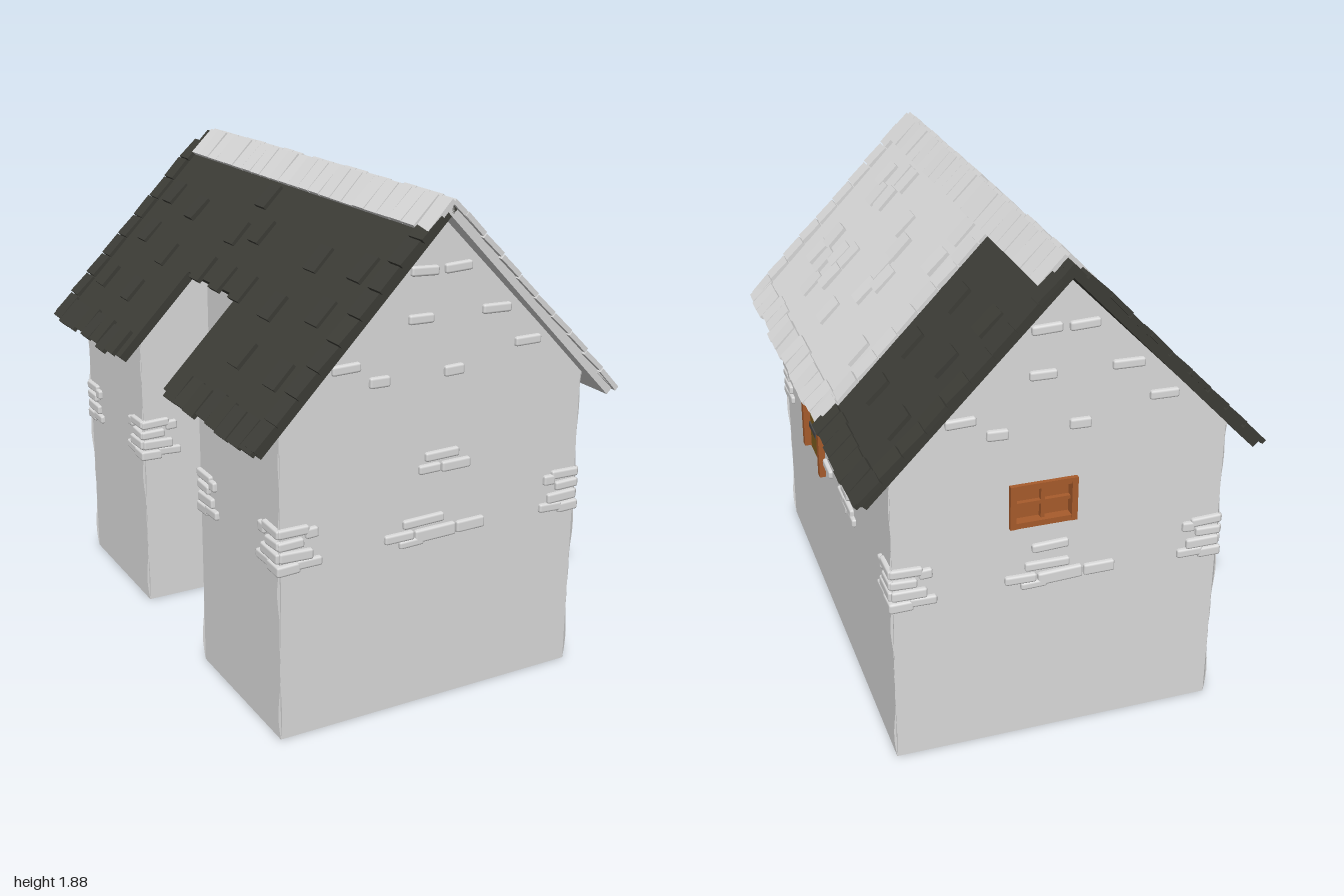
import * as THREE from 'three';
import { RoundedBoxGeometry } from 'three/addons/geometries/RoundedBoxGeometry.js';

const mat = (name, color, side = THREE.FrontSide) => {
  const m = new THREE.MeshStandardMaterial({ color, side });
  m.name = name;
  return m;
};

export function createModel() {
  const plaster = mat('plaster', 0xdcdcdc, THREE.DoubleSide);
  const slateLight = mat('light slate', 0xd9d9d9);
  const slateDark = mat('dark slate', 0x3d3d37);
  const wood = mat('brown wood', 0xa85c2c);
  const oak = mat('ochre wood', 0x806020);
  const iron = mat('iron', 0x4a4a4a);
  const rubble = mat('hearth stone', 0xa0a0a0);

  const house = new THREE.Group();
  house.name = 'house';
  let seed = 7;
  const jitter = (s) => {
    seed = (seed * 16807) % 2147483647;
    return (seed / 2147483647 - 0.5) * 2 * s;
  };
  const box = (parent, name, m, w, h, d, x, y, z) => {
    const b = new THREE.Mesh(new THREE.BoxGeometry(w, h, d), m);
    b.name = name;
    b.position.set(x, y, z);
    parent.add(b);
    return b;
  };

  // ---- Walls: flat panels with wavy upright edges and rectangular openings
  const wave = (y) => 0.011 * Math.abs(Math.sin(y * 14)) * Math.abs(Math.cos(y * 5));
  function wall(name, a0, a1, h0, h1, x, z, turn, { apex, holes = [] } = {}) {
    const g = new THREE.Group();
    g.name = name;
    const n = 30, pts = [];
    for (let i = 0; i <= n; i++) pts.push(new THREE.Vector2(a1 + wave(h1 * i / n), h1 * i / n));
    if (apex) pts.push(new THREE.Vector2(0, apex));
    for (let i = n; i >= 0; i--) pts.push(new THREE.Vector2(a0 - wave(h0 * i / n), h0 * i / n));
    const shape = new THREE.Shape(pts);
    for (const [l, r, b, t] of holes) {
      shape.holes.push(new THREE.Path([[l, b], [l, t], [r, t], [r, b]].map((p) => new THREE.Vector2(...p))));
    }
    const panel = new THREE.Mesh(new THREE.ShapeGeometry(shape), plaster);
    panel.name = name + 'Panel';
    g.add(panel);
    g.position.set(x, 0, z);
    g.rotation.y = turn;
    house.add(g);
    return g;
  }
  // Exposed stones: [across, height, width, tall]
  function stones(g, list) {
    for (const [a, y, w = 0.1, h = 0.035] of list) {
      const s = new THREE.Mesh(new RoundedBoxGeometry(w, h, 0.03, 1, 0.009), plaster);
      s.name = 'wallStone';
      s.position.set(a, y, 0.001);
      s.rotation.z = jitter(0.05);
      g.add(s);
    }
  }
  const corner = (a, s) => [
    [a - s * 0.05, 0.79, 0.12, 0.035], [a - s * 0.12, 0.775, 0.05, 0.04], [a - s * 0.04, 0.745, 0.1, 0.035],
    [a - s * 0.06, 0.70, 0.13, 0.04], [a - s * 0.11, 0.665, 0.1, 0.035], [a - s * 0.03, 0.655, 0.09, 0.04],
  ];
  const gableStones = [
    [-0.07, 1.635, 0.11], [0.065, 1.635, 0.11], [-0.08, 1.47], [0.23, 1.47, 0.12], [-0.37, 1.335, 0.11],
    [0.37, 1.335, 0.11], [-0.24, 1.27, 0.08, 0.04], [0.06, 1.27, 0.08, 0.04], [-0.05, 0.725, 0.17, 0.035],
    [-0.15, 0.68, 0.12, 0.035], [0, 0.67, 0.17, 0.05], [0.15, 0.672, 0.12, 0.045], [-0.1, 0.65, 0.1, 0.03],
    ...corner(0.62, 1), ...corner(-0.62, -1),
  ];

  const front = wall('frontWall', -0.62, 0.62, 1.18, 1.18, 0, 0.93, 0, { apex: 1.81 });
  stones(front, [...gableStones, [0.02, 0.965, 0.14], [-0.03, 0.92, 0.09], [0.08, 0.917, 0.12, 0.04]]);

  const backHole = [-0.195, 0.055, 0.895, 1.065];
  const back = wall('backWall', -0.62, 0.62, 1.18, 1.18, 0, -0.93, Math.PI, { apex: 1.81, holes: [backHole] });
  stones(back, [...gableStones, [-0.04, 0.8, 0.14]]);

  const sideHole = [0.22, 0.385, 0.86, 1.1];
  const left = wall('doorWall', -0.93, 0.93, 1.17, 1.17, 0.62, 0, Math.PI / 2,
    { holes: [[-0.45, -0.15, 0.61, 1.15], sideHole] });
  stones(left, [
    [-0.54, 1.015, 0.12], [-0.06, 0.69, 0.12], [0.26, 0.755, 0.1], [0.2, 0.71, 0.1], [0.31, 0.715, 0.12],
    [0.24, 0.685, 0.1], [0.35, 0.69, 0.1], [0.52, 1.075, 0.13], ...corner(0.93, 1), ...corner(-0.93, -1),
  ]);

  // Far side has a recess in the middle
  const wingA = wall('wingWallRear', -0.93, -0.3, 1.17, 1.17, -0.62, 0, -Math.PI / 2);
  const wingB = wall('wingWallFront', 0.28, 0.93, 1.17, 1.17, -0.62, 0, -Math.PI / 2);
  stones(wingA, [...corner(-0.93, -1), ...corner(-0.3, 1)]);
  stones(wingB, [...corner(0.93, 1), ...corner(0.28, -1)]);
  wall('recessWall', -0.3, 0.28, 1.47, 1.47, -0.32, 0, -Math.PI / 2);
  stones(wall('recessRearReturn', -0.62, -0.32, 1.18, 1.48, 0, -0.3, 0), corner(-0.62, -1));
  stones(wall('recessFrontReturn', 0.32, 0.62, 1.48, 1.18, 0, 0.28, Math.PI), corner(0.62, 1));

  // ---- Windows
  function windowIn(g, [l, r, b, t]) {
    const w = new THREE.Group(), f = 0.022, cx = (l + r) / 2, cy = (b + t) / 2;
    w.name = 'window';
    for (const x of [l + f / 2, r - f / 2]) box(w, 'windowJamb', wood, f, t - b, 0.08, x, cy, -0.022);
    for (const y of [b + f / 2, t - f / 2]) box(w, 'windowRail', wood, r - l, f, 0.076, cx, y, -0.022);
    box(w, 'windowMullion', wood, 0.014, t - b, 0.02, cx, cy, -0.01);
    box(w, 'windowBar', wood, r - l, 0.014, 0.018, cx, cy, -0.01);
    box(w, 'windowPane', wood, r - l, t - b, 0.008, cx, cy, -0.025);
    g.add(w);
  }
  windowIn(back, backHole);
  windowIn(left, sideHole);

  // ---- Door with frame, hinges and latch
  const door = new THREE.Group();
  door.name = 'door';
  for (const a of [-0.452, -0.155]) {
    box(door, 'doorPost', wood, 0.036, 0.58, 0.12, a, 0.9, -0.034);
    box(door, 'lowerPost', wood, 0.05, 0.61, 0.09, a, 0.305, -0.048);
  }
  box(door, 'doorLintel', wood, 0.33, 0.04, 0.115, -0.303, 1.16, -0.034);
  box(door, 'doorLeaf', oak, 0.265, 0.54, 0.025, -0.303, 0.875, -0.015);
  for (const y of [1.02, 0.715]) box(door, 'hinge', iron, 0.125, 0.024, 0.008, -0.37, y, 0.001);
  box(door, 'latch', iron, 0.07, 0.012, 0.008, -0.21, 0.88, 0.001);
  box(door, 'latchHandle', iron, 0.012, 0.04, 0.009, -0.2, 0.875, 0.002);
  left.add(door);

  // ---- Upper floor, joist and hearth, seen through the open base
  box(house, 'floor', wood, 0.92, 0.03, 1.84, 0.15, 0.59, 0);
  box(house, 'floorFront', wood, 0.3, 0.03, 0.63, -0.46, 0.59, 0.605);
  box(house, 'floorRear', wood, 0.3, 0.03, 0.61, -0.46, 0.59, -0.615);
  box(house, 'floorJoist', oak, 0.12, 0.03, 0.56, -0.25, 0.562, -0.01);
  for (let i = 0; i < 9; i++) {
    const t = i / 9 * Math.PI * 2;
    const s = box(house, 'hearthStone', rubble, 0.09, 0.05, 0.06,
      -0.42 + 0.1 * Math.cos(t), 0.56 + jitter(0.012), 0.66 + 0.1 * Math.sin(t));
    s.rotation.y = -t + Math.PI / 2 + jitter(0.2);
  }

  // ---- Roof: slabs and tiles laid by distance u down the slope from the ridge
  const roof = new THREE.Group();
  roof.name = 'roof';
  house.add(roof);
  const pitch = Math.atan2(0.75, 0.73), c = Math.cos(pitch), s = Math.sin(pitch), ridgeY = 1.845;
  function lay(name, m, side, u0, u1, z0, z1, thick, lift, tilt = 0) {
    const u = (u0 + u1) / 2;
    const b = box(roof, name, m, u1 - u0, thick, z1 - z0,
      side * (u * c + lift * s), ridgeY - u * s + lift * c, (z0 + z1) / 2);
    b.rotation.z = -side * (pitch + tilt);
    return b;
  }
  const tile = (m, side, u, z, len = 0.11, w = 0.085, lift = 0.022) => {
    const t = lay('roofTile', m, side, u - len / 2, u + len / 2, z - w / 2, z + w / 2, 0.018,
      lift + jitter(0.003), jitter(0.04) - 0.02);
    t.rotation.y = jitter(0.02);
  };
  const L = 1.035;
  lay('lightSlope', slateLight, 1, -0.017, L, -0.38, 0.98, 0.035, 0);
  lay('darkSlope', slateDark, 1, -0.017, L, -0.98, -0.38, 0.034, -0.001);
  lay('farSlopeRear', slateDark, -1, -0.017, L, -0.98, -0.23, 0.035, 0);
  lay('farSlopeFront', slateDark, -1, -0.017, L, 0.22, 0.98, 0.035, 0);
  lay('farSlopeMiddle', slateDark, -1, -0.017, 0.6, -0.23, 0.22, 0.035, 0);

  // Tiles along gable edges and the colour change
  for (let i = 0; i < 9; i++) {
    const u = 0.1 + i * 0.11;
    for (const z of [-0.957, 0.957]) {
      tile(z > 0 ? slateLight : slateDark, 1, u, z, 0.105, 0.084);
      tile(slateDark, -1, u, z, 0.105, 0.084);
    }
    tile(slateLight, 1, u, -0.34, 0.105, 0.084);
  }
  // Eave tiles
  for (let i = 0; i < 22; i++) {
    const z = -0.945 + i * 0.09;
    tile(z > -0.38 ? slateLight : slateDark, 1, 0.99 + jitter(0.01), z, 0.12, 0.086);
    if (z < -0.26 || z > 0.25) tile(slateDark, -1, 0.99 + jitter(0.01), z, 0.12, 0.086);
    else if (i % 2) tile(slateDark, -1, 0.56, z, 0.12, 0.086);
  }
  // Ridge caps on both slopes
  for (let i = 0; i < 23; i++) {
    const z = 0.955 - i * 0.0835;
    for (const side of [1, -1]) {
      lay('ridgeTile', slateLight, side, -0.02, 0.115, z - 0.04, z + 0.04, 0.018, 0.024 + jitter(0.003), jitter(0.03));
    }
  }
  // Scattered raised tiles: [x, z]
  const ends = [[0.22, 0.81], [0.36, 0.77], [0.54, 0.81], [0.24, 0.53], [0.4, 0.49], [0.54, 0.53]];
  for (const [x, z] of ends) {
    tile(slateDark, 1, x / c, -z);
    tile(slateDark, -1, x / c, -z);
    tile(slateDark, -1, x / c, z);
  }
  for (const [x, z] of [[0.26, -0.1], [0.23, 0.06], [0.13, -0.08]]) tile(slateDark, -1, x / c, z);
  const light = [
    [0.12, -0.21], [0.22, -0.21], [0.53, -0.21], [0.36, 0.04], [0.42, 0.1], [0.27, 0.12], [0.34, 0.13],
    [0.22, 0.24], [0.54, 0.24], [0.13, 0.5], [0.21, 0.55], [0.13, 0.6], [0.16, 0.72], [0.4, 0.45],
    [0.48, 0.45], [0.42, 0.53], [0.54, 0.56], [0.47, 0.62], [0.4, 0.7], [0.47, 0.73], [0.22, 0.66],
  ];
  for (const [x, z] of light) tile(slateLight, 1, x / c, z);

  return house;
}
